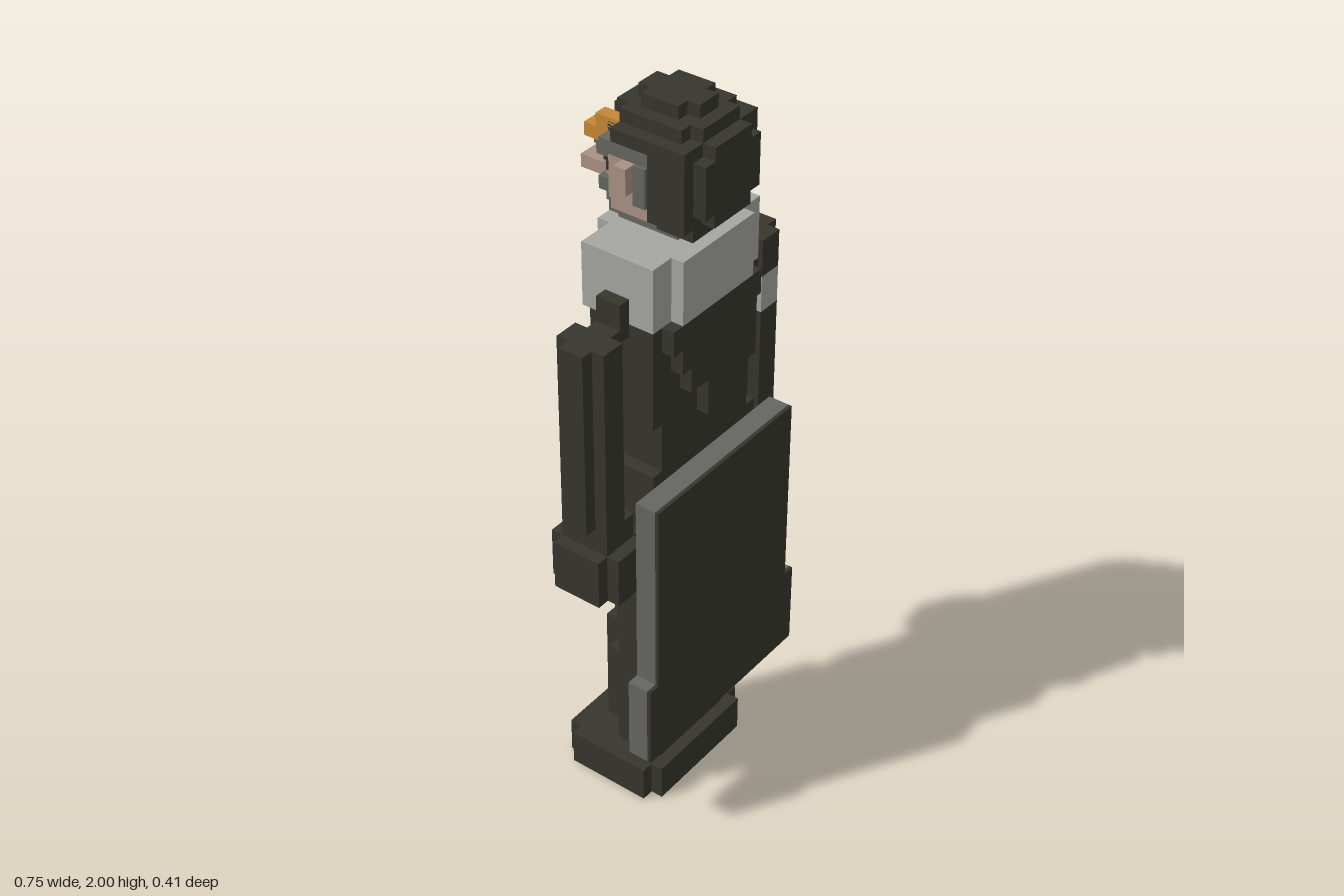
import * as THREE from 'three';

const U = 2 / 59; // one voxel

const material = (name, color) => {
  const m = new THREE.MeshStandardMaterial({ color });
  m.name = name;
  return m;
};

export function createModel() {
  const dark = material('dark cloth', 0x36352e);
  const grey = material('mid grey', 0x656661);
  const light = material('light grey', 0xa5a7a1);
  const skin = material('skin', 0xa99183);
  const gold = material('gold', 0xc58834);

  const model = new THREE.Group();
  model.name = 'figure';

  // Each box is [x0, x1, y0, y1, z0, z1] in voxels
  const part = (name, mat, boxes, parent = model) => {
    const g = new THREE.Group();
    g.name = name;
    for (const [x0, x1, y0, y1, z0, z1] of boxes) {
      const geo = new THREE.BoxGeometry((x1 - x0) * U, (y1 - y0) * U, (z1 - z0) * U);
      const mesh = new THREE.Mesh(geo, mat);
      mesh.name = name;
      mesh.position.set((x0 + x1) / 2 * U, (y0 + y1) / 2 * U, (z0 + z1) / 2 * U);
      g.add(mesh);
    }
    parent.add(g);
    return g;
  };
  // Box centred on x
  const mid = (w, y0, y1, z0, z1) => [-w, w, y0, y1, z0, z1];
  // Mirrored copy of a list of boxes
  const both = (boxes) => boxes.concat(boxes.map(([a, b, ...r]) => [-b, -a, ...r]));
  // Block with its vertical edges notched by one voxel
  const notched = (x0, x1, y0, y1, z0, z1) => [
    [x0, x1, y0, y1, z0 + 1, z1 - 1],
    [x0 + 1, x1 - 1, y0, y1, z0, z1],
  ];

  // Boots and ankles
  part('boots', dark, notched(-6, 6, 0, 3, -5, 4));
  part('ankles', dark, [mid(4, 3, 5, -1, 3), mid(5, 4, 5, 0, 2)]);

  // Trousers with raised folds on the front and back
  part('trousers', dark, [mid(4, 5, 29, -1, 4), mid(5, 4, 29, 0, 3)]);
  part('trouserFolds', dark, [
    ...both([
      [1, 4, 5, 7, -2, -1], [2, 4, 7, 15, -2, -1], [1, 3, 15, 18, -2, -1],
      [1, 4, 18, 23, -2, -1], [4, 5, 8, 13, -1, 0], [4, 5, 19, 29, -1, 0],
    ]),
    mid(4, 23, 29, -2, -1), mid(1, 10, 16, -2, -1),
  ]);
  part('buttons', dark, both([[2, 3, 27, 28, -3, -2]]));

  // Belt
  part('belt', dark, [mid(6, 29, 32, -2, 4), mid(5, 29, 32, -3, 4)]);

  // Coat, with tapering drapery front and back
  part('coat', dark, [
    mid(5, 32, 36, -2, 4),
    mid(6, 36, 44, -1, 4), mid(5, 36, 44, -2, 4),
  ]);
  const drape = [[5, 42, 44], [4, 40, 42], [3, 38, 40], [1, 35, 38]];
  part('drapery', dark, drape.flatMap(([w, y0, y1]) => [
    mid(w - (w > 4 ? 1 : 0), y0, y1, -3, -2),
    mid(w, y0, y1, 4, 5),
  ]));

  // Thick collar
  part('collar', light, [
    mid(6, 44, 49, -2, 4), mid(3, 44, 49, -3, -2), mid(4, 44, 49, 4, 5),
  ]);

  // Shoulders and arms; the left sleeve carries a pale band
  part('shoulders', dark, both([[6, 7, 43, 46, 0, 2]]));
  part('rightSleeve', dark, notched(-11, -7, 29, 44, -1, 3));
  part('leftSleeve', dark, [
    ...notched(7, 11, 29, 38, -1, 3), ...notched(7, 11, 41, 44, -1, 3),
  ]);
  part('armBand', light, notched(7, 11, 38, 41, -1, 3));
  part('wrists', dark, both([[7, 10, 27, 29, -1, 3]]));
  part('hands', dark, both(notched(6, 11, 23, 27, -2, 4)));

  // Cape: grey lining with a dark outer skin
  part('capeLining', grey, [mid(8, 15, 31, 4, 5.7), mid(9, 8, 15, 4, 5.7)]);
  part('capeBack', dark, [mid(8, 15, 31, 5.7, 6), mid(9, 8, 15, 5.7, 6)]);

  // Head
  const head = new THREE.Group();
  head.name = 'head';
  model.add(head);
  part('neck', grey, [mid(2, 49, 50, -2, 3)], head);
  part('chin', grey, [mid(3, 50, 51, -2, 2), mid(2, 50, 51, -3, -2)], head);
  part('face', skin, [mid(4, 51, 55, -1, 2), mid(3, 51, 55, -2, 2), mid(2, 51, 54, -3, -2)], head);
  part('ears', skin, both([[4, 5, 53, 55, 0, 1]]), head);
  part('earFlaps', grey, both([[4, 4.25, 52, 55, 1, 2]]), head);
  part('nose', skin, [mid(1, 52, 54, -4, -3), mid(1, 51, 52, -6, -3)], head);
  part('moustache', grey, both([[1, 2.5, 51, 52, -3.25, -2]]), head);
  part('eyes', dark, both([[1, 2, 53, 54, -3.2, -3], [2, 3, 53, 54, -2.2, -2]]), head);

  // Hood, rounded in steps
  part('hood', dark, [
    mid(3, 50, 51, 2, 5),
    mid(4, 51, 57, 2, 5), mid(2, 51, 57, 5, 6), mid(3, 52, 56, 5, 6),
    mid(4, 56, 57, -1, 2), mid(3, 55, 57, -2, 2),
    mid(3, 57, 58, -1, 4), mid(2, 57, 58, -2, 5),
    mid(2, 58, 59, 0, 3), mid(1, 58, 59, -1, 4),
  ], head);
  part('hoodPeak', dark, [mid(1, 55, 57, -3, -2)], head);

  // Goggles pushed up on the brow
  part('goggleStrap', grey, both([[3, 4, 55, 56, -2, 2]]), head);
  part('goggleLenses', grey, both([[1, 2, 54, 56, -4, -2], [2, 3, 54, 55, -3, -2]]), head);
  part('goggleFrames', gold, both([[2, 3, 56, 57, -3, -1], [2, 3, 55, 56, -4, -2]]), head);

  return model;
}
